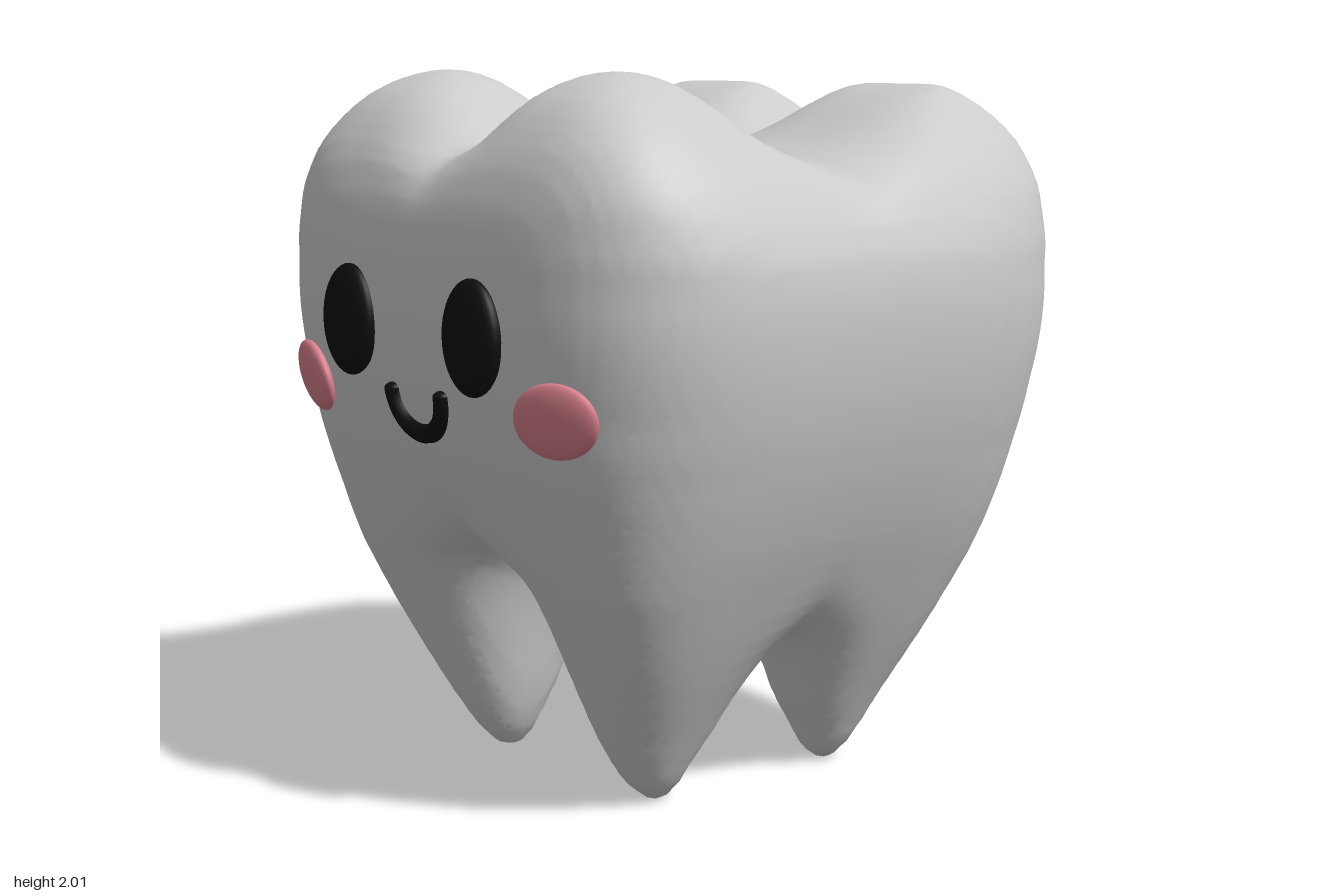
import * as THREE from 'three';

// Outer body profiles as [height, offset] pairs
const SIDE = [[-0.03, 0.33], [0, 0.37], [0.05, 0.415], [0.1, 0.445], [0.2, 0.5], [0.4, 0.61], [0.6, 0.71], [0.8, 0.8], [1, 0.87],
  [1.2, 0.915], [1.4, 0.93], [1.54, 0.91], [1.7, 0.835], [1.8, 0.76], [1.9, 0.66], [1.97, 0.55], [2, 0.45], [2.02, 0.3]];
const FRONT = [[-0.03, 0.28], [0, 0.33], [0.05, 0.385], [0.1, 0.42], [0.2, 0.48], [0.4, 0.575], [0.6, 0.66], [0.8, 0.74], [1, 0.81],
  [1.2, 0.85], [1.4, 0.865], [1.6, 0.85], [1.75, 0.805], [1.85, 0.745], [1.93, 0.67], [1.98, 0.58], [2, 0.51], [2.02, 0.35]];
const BACK = [[-0.03, 0.31], [0, 0.36], [0.05, 0.405], [0.1, 0.435], [0.2, 0.485], [0.4, 0.58], [0.6, 0.675], [0.8, 0.77], [1, 0.84],
  [1.2, 0.89], [1.4, 0.912], [1.6, 0.9], [1.75, 0.86], [1.85, 0.79], [1.92, 0.7], [1.96, 0.6], [1.98, 0.45]];
// Half width of the gap between left and right: arch below, groove on top, negative where joined
const GAP_X = [[-0.03, 0.38], [0, 0.32], [0.05, 0.275], [0.1, 0.25], [0.2, 0.22], [0.3, 0.2], [0.4, 0.18], [0.5, 0.155], [0.6, 0.115],
  [0.65, 0.07], [0.685, 0], [0.75, -0.14], [0.85, -0.36], [1, -0.65], [1.2, -1], [1.4, -1], [1.58, -0.7], [1.68, -0.36],
  [1.75, -0.15], [1.805, 0], [1.84, 0.055], [1.9, 0.13], [1.95, 0.2], [1.98, 0.26], [2, 0.33], [2.02, 0.5]];
// The same between front and back, for the front and the rear half
const ARCH_Z = [[-0.03, 0.36], [0, 0.29], [0.05, 0.25], [0.1, 0.225], [0.2, 0.165], [0.3, 0.12], [0.4, 0.06], [0.46, 0],
  [0.55, -0.13], [0.7, -0.36], [0.9, -0.7], [1.1, -1], [1.4, -1], [1.57, -0.6], [1.67, -0.25], [1.765, 0]];
const GAP_FRONT = [...ARCH_Z, [1.8, 0.1], [1.85, 0.19], [1.9, 0.25], [1.95, 0.32], [1.98, 0.37], [2, 0.43], [2.02, 0.6]];
const GAP_BACK = [...ARCH_Z, [1.8, 0.13], [1.85, 0.24], [1.9, 0.33], [1.94, 0.42], [1.96, 0.5], [1.98, 0.65]];
const MID_Z = -0.015;

// Smooth interpolation of a profile
function at(table, y) {
  const n = table.length - 1;
  let i = 0;
  while (i < n - 1 && y > table[i + 1][0]) i++;
  const slope = (j) => {
    const a = table[Math.max(j - 1, 0)], b = table[Math.min(j + 1, n)];
    return (b[1] - a[1]) / (b[0] - a[0]);
  };
  const [y0, v0] = table[i], [y1, v1] = table[i + 1], d = y1 - y0;
  const t = Math.min(Math.max((y - y0) / d, 0), 1);
  const t2 = t * t, t3 = t2 * t;
  return (2 * t3 - 3 * t2 + 1) * v0 + (t3 - 2 * t2 + t) * d * slope(i) + (3 * t2 - 2 * t3) * v1 + (t3 - t2) * d * slope(i + 1);
}

// Signed field of the body, negative inside: each quarter has a rounded section
// between its gap and its outer profile; the quarters merge into one crown at mid height
function field(x, y, z) {
  const zc = z - MID_Z, front = zc > 0;
  const X = at(SIDE, y), Z = front ? at(FRONT, y) - MID_Z : at(BACK, y) + MID_Z;
  const gapX = Math.max(at(GAP_X, y), -X), gapZ = Math.max(at(front ? GAP_FRONT : GAP_BACK, y), -Z);
  const hx = (X - gapX) / 2, hz = (Z - gapZ) / 2;
  if (y < -0.03 || y > 2.02 || hx <= 0 || hz <= 0) return 0.1;
  const p = 2.4 + 1.6 * THREE.MathUtils.smoothstep(y, 0.1, 1.1) - 1.4 * THREE.MathUtils.smoothstep(y, 1.45, 1.95);
  const a = Math.abs(Math.abs(x) - (X + gapX) / 2) / hx, b = Math.abs(Math.abs(zc) - (Z + gapZ) / 2) / hz;
  return (Math.pow(Math.pow(a, p) + Math.pow(b, p), 1 / p) - 1) * Math.min(hx, hz);
}

// Where the surface crosses a grid edge, 0 to 1, by bisection
function crossing(o, s, h, startsInside) {
  let lo = 0, hi = 1;
  for (let i = 0; i < 6; i++) {
    const t = (lo + hi) / 2;
    if (field(o[0] + s[0] * t * h, o[1] + s[1] * t * h, o[2] + s[2] * t * h) < 0 === startsInside) lo = t;
    else hi = t;
  }
  return (lo + hi) / 2;
}

// Surface of the field: one vertex per crossed cell, one quad per crossed grid edge
function bodyGeometry() {
  const h = 0.032, n = 68, start = [-33.5 * h, -2.5 * h, -33.5 * h + MID_Z];
  const id = (i, j, k) => (i * n + j) * n + k;
  const values = new Float32Array(n * n * n), cells = new Map();
  const positions = [], index = [];
  const node = (i, j, k) => [start[0] + i * h, start[1] + j * h, start[2] + k * h];
  for (let i = 0; i < n; i++) for (let j = 0; j < n; j++) for (let k = 0; k < n; k++)
    values[id(i, j, k)] = field(...node(i, j, k));

  const steps = [[1, 0, 0], [0, 1, 0], [0, 0, 1]];
  for (let i = 0; i < n - 1; i++) for (let j = 0; j < n - 1; j++) for (let k = 0; k < n - 1; k++) {
    const sum = [0, 0, 0];
    let count = 0;
    for (let c = 0; c < 8; c++) {
      const corner = [c & 1, (c >> 1) & 1, c >> 2];
      const at0 = [i + corner[0], j + corner[1], k + corner[2]];
      const inside = values[id(...at0)] < 0;
      for (let axis = 0; axis < 3; axis++) {
        if (corner[axis]) continue;
        const s = steps[axis];
        if (inside === values[id(at0[0] + s[0], at0[1] + s[1], at0[2] + s[2])] < 0) continue;
        const t = crossing(node(...at0), s, h, inside);
        for (let m = 0; m < 3; m++) sum[m] += corner[m] + s[m] * t;
        count++;
      }
    }
    if (!count) continue;
    cells.set(id(i, j, k), positions.length / 3);
    positions.push(...node(i + sum[0] / count, j + sum[1] / count, k + sum[2] / count));
  }

  for (let i = 1; i < n - 1; i++) for (let j = 1; j < n - 1; j++) for (let k = 1; k < n - 1; k++) {
    const inside = values[id(i, j, k)] < 0;
    for (let axis = 0; axis < 3; axis++) {
      const s = steps[axis], u = steps[(axis + 1) % 3], v = steps[(axis + 2) % 3];
      if (inside === values[id(i + s[0], j + s[1], k + s[2])] < 0) continue;
      const cell = (a, b) => cells.get(id(i - a * u[0] - b * v[0], j - a * u[1] - b * v[1], k - a * u[2] - b * v[2]));
      const q = [cell(1, 1), cell(0, 1), cell(0, 0), cell(1, 0)];
      if (!inside) q.reverse();
      index.push(q[0], q[1], q[2], q[0], q[2], q[3]);
    }
  }
  const geometry = new THREE.BufferGeometry();
  geometry.setAttribute('position', new THREE.Float32BufferAttribute(positions, 3));
  geometry.setIndex(index);
  geometry.computeVertexNormals();
  return geometry;
}

export function createModel() {
  const group = new THREE.Group();
  const grey = new THREE.MeshStandardMaterial({ color: 0xcccccc });
  const black = new THREE.MeshStandardMaterial({ color: 0x0d0d0d });
  const pink = new THREE.MeshStandardMaterial({ color: 0xd9808c });
  const add = (name, geometry, material, parent = group) => {
    const mesh = new THREE.Mesh(geometry, material);
    mesh.name = name;
    parent.add(mesh);
    return mesh;
  };

  // Crown and four roots in one skin
  add('toothBody', bodyGeometry(), grey);

  // Eyes and cheeks, mirrored
  const ball = new THREE.SphereGeometry(1, 32, 20);
  for (const [side, s] of [['left', 1], ['right', -1]]) {
    const eye = add(side + 'Eye', ball, black);
    eye.scale.set(0.118, 0.155, 0.05);
    eye.position.set(s * 0.293, 1.325, 0.865);
    const cheek = add(side + 'Cheek', ball, pink);
    cheek.scale.set(0.136, 0.102, 0.032);
    cheek.position.set(s * 0.575, 1.135, 0.808);
    cheek.rotation.set(0.2, s * 0.27, s * 0.1);
  }

  // Smile with rounded ends
  const smile = new THREE.Group();
  smile.name = 'smile';
  smile.position.set(0, 1.152, 0.84);
  smile.rotation.x = 0.17;
  group.add(smile);
  add('smileCurve', new THREE.TorusGeometry(0.117, 0.027, 12, 32, Math.PI), black, smile).rotation.z = Math.PI;
  for (const s of [-1, 1]) {
    const end = add('smileEnd', ball, black, smile);
    end.scale.set(0.027, 0.016, 0.027);
    end.position.x = s * 0.117;
  }
  return group;
}
